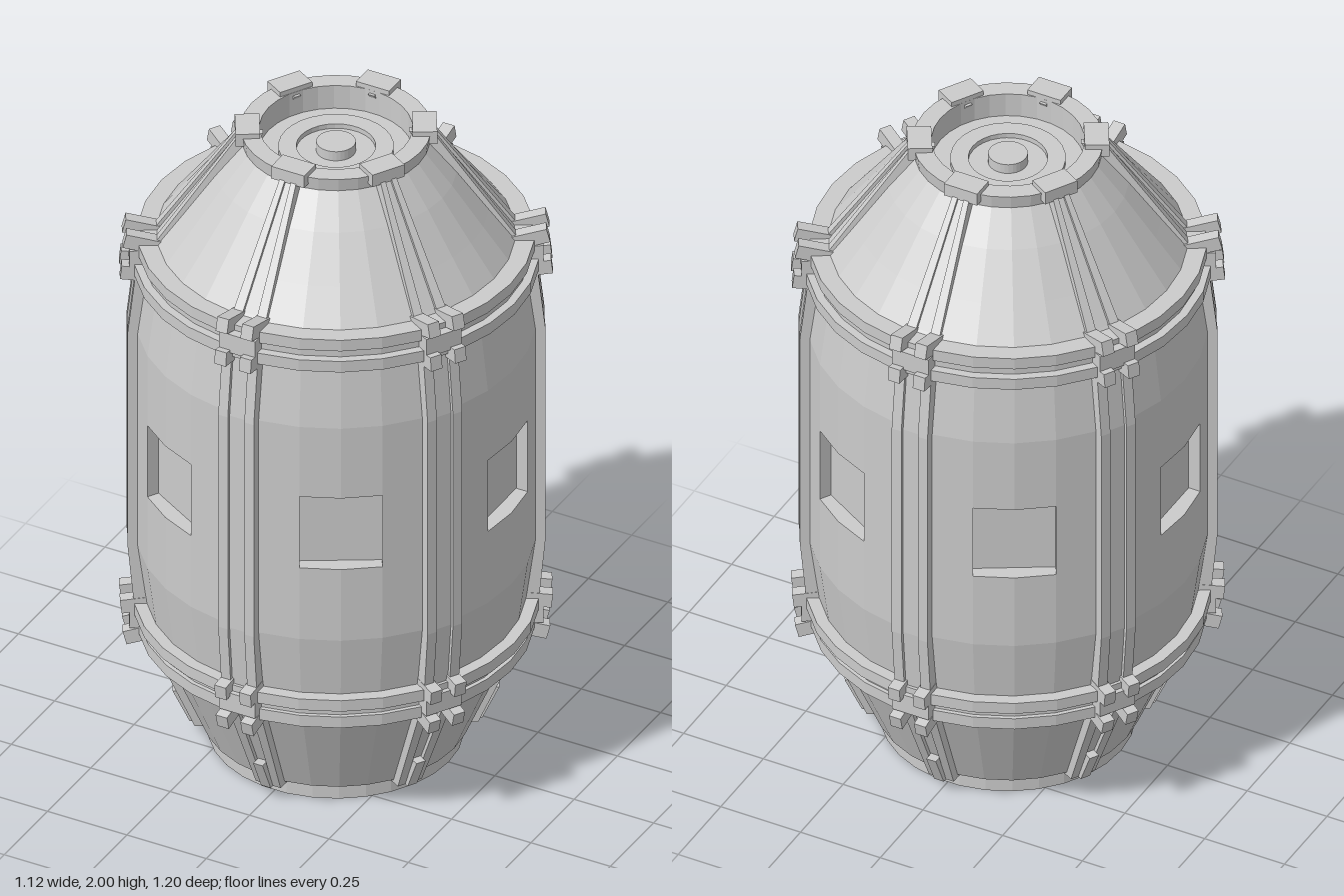
import * as THREE from 'three';

const mat = new THREE.MeshStandardMaterial({ color: 0xcccccc, flatShading: true });
const DEG = Math.PI / 180;

function add(parent, name, geometry) {
  const mesh = new THREE.Mesh(geometry, mat);
  mesh.name = name;
  parent.add(mesh);
  return mesh;
}

// Turned part; facet edges fall 6 degrees either side of each rib
function turned(parent, name, profile, from = 6, sweep = 360) {
  const pts = profile.map(([r, y]) => new THREE.Vector2(r, y));
  return add(parent, name, new THREE.LatheGeometry(pts, Math.round(sweep / 12), from * DEG, sweep * DEG));
}

function quadGeometry(quads) {
  const pos = [];
  for (const [a, b, c, d] of quads) pos.push(...a, ...b, ...c, ...a, ...c, ...d);
  const g = new THREE.BufferGeometry();
  g.setAttribute('position', new THREE.Float32BufferAttribute(pos, 3));
  g.computeVertexNormals();
  return g;
}

// Bar following stations [radius, y, centre x, width], running upwards
function bar(parent, name, stations, depth = 0.06) {
  const rings = stations.map(([r, y, x, w]) => [
    [x - w / 2, y, r], [x + w / 2, y, r], [x + w / 2, y, r - depth], [x - w / 2, y, r - depth],
  ]);
  const quads = [[...rings[0]].reverse(), rings[rings.length - 1]];
  for (let s = 0; s < rings.length - 1; s++) {
    for (let i = 0; i < 4; i++) {
      const j = (i + 1) % 4;
      quads.push([rings[s][i], rings[s][j], rings[s + 1][j], rings[s + 1][i]]);
    }
  }
  return add(parent, name, quadGeometry(quads));
}

function block(parent, name, size, position, tilt = 0) {
  const mesh = add(parent, name, new THREE.BoxGeometry(...size));
  mesh.position.set(...position);
  mesh.rotation.x = tilt;
  return mesh;
}

const R = 0.553, WIN_LOW = 0.885, WIN_HIGH = 1.12;

// Recessed window pocket: four walls and a flat floor
function windowPocket(parent) {
  const w = R * Math.sin(12 * DEG), edge = R * Math.cos(12 * DEG), floor = 0.505;
  const xs = [-w, 0, w, w, 0, -w];
  const ys = [WIN_LOW, WIN_LOW, WIN_LOW, WIN_HIGH, WIN_HIGH, WIN_HIGH];
  const outer = xs.map((x, i) => [x, ys[i], x === 0 ? R : edge]);
  const inner = xs.map((x, i) => [x, ys[i], floor]);
  const quads = outer.map((p, i) => {
    const j = (i + 1) % 6;
    return [p, outer[j], inner[j], inner[i]];
  });
  quads.push([inner[0], inner[2], inner[3], inner[5]]);
  add(parent, 'windowPocket', quadGeometry(quads));
}

function ribAssembly() {
  const rib = new THREE.Group();
  rib.name = 'rib';

  // Paired outer rails
  for (const s of [-1, 1]) {
    bar(rib, 'lowerRail', [[0.392, 0.04, s * 0.027, 0.024], [0.53, 0.36, s * 0.038, 0.03]]);
    bar(rib, 'sideRail', [
      [0.555, 0.4, s * 0.041, 0.03], [0.578, 0.65, s * 0.041, 0.03],
      [0.578, 1.35, s * 0.041, 0.03], [0.552, 1.58, s * 0.041, 0.03],
    ]);
    bar(rib, 'upperRail', [[0.52, 1.62, s * 0.039, 0.03], [0.272, 1.975, s * 0.017, 0.016]]);
    // Prongs clamping the hoops, leaning with the taper
    for (const [y, r, tilt] of [[1.64, 0.588, -0.25], [1.545, 0.597, -0.12], [0.455, 0.597, 0.12], [0.36, 0.588, 0.25]]) {
      block(rib, 'clampProng', [0.036, 0.043, 0.12], [s * 0.039, y, r - 0.06], tilt);
    }
  }

  // Centre strip between the rails
  bar(rib, 'lowerStrip', [[0.38, 0.04, 0, 0.034], [0.518, 0.36, 0, 0.05]]);
  bar(rib, 'sideStrip', [
    [0.545, 0.4, 0, 0.054], [0.567, 0.65, 0, 0.054], [0.567, 1.35, 0, 0.054], [0.542, 1.58, 0, 0.054],
  ]);
  bar(rib, 'upperStrip', [[0.508, 1.62, 0, 0.05], [0.262, 1.975, 0, 0.02]]);
  bar(rib, 'foot', [[0.405, 0.04, 0, 0.03], [0.452, 0.14, 0, 0.03]], 0.04);

  // Bridges joining the prongs across the hoops
  for (const y of [1.592, 0.408]) block(rib, 'clampBridge', [0.114, 0.06, 0.1], [0, y, 0.523]);

  // Block on the top rim
  block(rib, 'rimBlock', [0.104, 0.04, 0.068], [0, 1.98, 0.245]);
  return rib;
}

export function createModel() {
  const model = new THREE.Group();
  model.name = 'capsule';

  // Hull below and above the window band
  turned(model, 'lowerHull', [
    [0, 0], [0.355, 0], [0.355, 0.045], [0.372, 0.05], [0.505, 0.36],
    [0.525, 0.44], [R, 0.65], [R, WIN_LOW],
  ]);
  turned(model, 'upperHull', [[R, WIN_HIGH], [R, 1.35], [0.525, 1.56], [0.505, 1.64]]);

  // Tapered cap, rim and stepped dish
  turned(model, 'cap', [
    [0.505, 1.63], [0.425, 1.735], [0.335, 1.855], [0.26, 1.945], [0.265, 1.985],
    [0.212, 1.985], [0.212, 1.91], [0.16, 1.91], [0.16, 1.925], [0.11, 1.925],
    [0.11, 1.91], [0.055, 1.91], [0.055, 1.94], [0, 1.94],
  ]);

  // Double hoops around both shoulders
  for (const [y, r] of [[1.622, 0.55], [1.56, 0.562], [0.44, 0.562], [0.378, 0.55]]) {
    turned(model, 'hoop', [[0.47, y - 0.018], [r, y - 0.018], [r, y + 0.018], [0.47, y + 0.018]]);
  }
  for (const y of [1.592, 0.408]) {
    turned(model, 'hoopCore', [[0.47, y - 0.03], [0.538, y - 0.03], [0.538, y + 0.03], [0.47, y + 0.03]]);
  }

  // Six ribs, with hull panels behind them and windows between them
  for (let k = 0; k < 6; k++) {
    const rib = ribAssembly();
    rib.rotation.y = k * 60 * DEG;
    model.add(rib);

    turned(model, 'hullPanel', [[R, WIN_LOW], [R, WIN_HIGH]], k * 60 - 18, 36);

    const win = new THREE.Group();
    win.name = 'window';
    windowPocket(win);
    win.rotation.y = (k * 60 + 30) * DEG;
    model.add(win);
  }
  return model;
}
